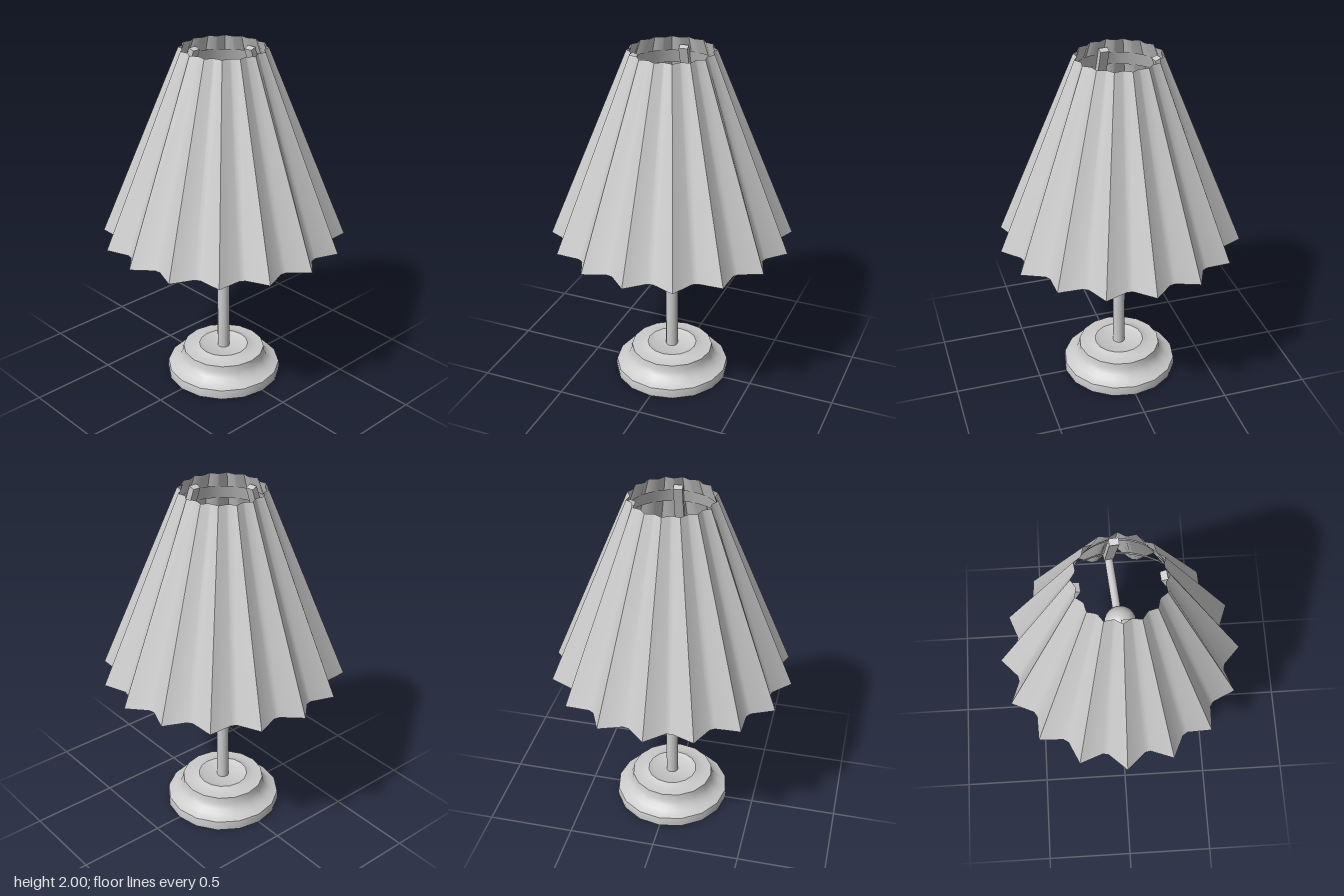
import * as THREE from 'three';
import { toCreasedNormals } from 'three/addons/utils/BufferGeometryUtils.js';

const PLEATS = 16, SHADE_TOP = 2, SHADE_BOTTOM = 0.92;
const grey = new THREE.MeshStandardMaterial({ color: 0xcccccc });
const greyThin = new THREE.MeshStandardMaterial({ color: 0xcccccc, side: THREE.DoubleSide });

function add(parent, name, geometry, material = grey) {
  const mesh = new THREE.Mesh(geometry, material);
  mesh.name = name;
  parent.add(mesh);
  return mesh;
}

// Radius of the pleat valleys at height y
const valleyRadius = (y) => THREE.MathUtils.mapLinear(y, SHADE_BOTTOM, SHADE_TOP, 0.6, 0.22);

// Pleated cone: sharp ridges outside, narrow softened valleys inside
function pleatedShade() {
  const step = (Math.PI * 2) / PLEATS;
  const outline = (peak, valley, y) => {
    const points = [];
    for (let i = 0; i < PLEATS; i++) {
      for (const [t, r] of [[0, peak], [0.43, valley], [0.57, valley]]) {
        const a = (i + t) * step;
        points.push([r * Math.sin(a), y, r * Math.cos(a)]);
      }
    }
    return points;
  };
  const low = outline(0.685, 0.6, SHADE_BOTTOM);
  const high = outline(0.24, 0.22, SHADE_TOP);
  const positions = [];
  low.forEach((a, i) => {
    const j = (i + 1) % low.length;
    positions.push(...a, ...low[j], ...high[j], ...a, ...high[j], ...high[i]);
  });
  const geometry = new THREE.BufferGeometry();
  geometry.setAttribute('position', new THREE.Float32BufferAttribute(positions, 3));
  return toCreasedNormals(geometry, 0.8);
}

export function createModel() {
  const lamp = new THREE.Group();
  lamp.name = 'tableLamp';

  // Turned base with a raised collar around the stem
  const profile = [
    [0, 0], [0.335, 0], [0.337, 0.03], [0.332, 0.055], [0.315, 0.06], [0.285, 0.075],
    [0.26, 0.095], [0.245, 0.125], [0.24, 0.16], [0.19, 0.16], [0.165, 0.168],
    [0.145, 0.175], [0.13, 0.17], [0.12, 0.165], [0, 0.165],
  ].map(([r, y]) => new THREE.Vector2(r, y));
  add(lamp, 'base', toCreasedNormals(new THREE.LatheGeometry(profile, 16), 0.6));

  // Stem and bulb
  const stem = add(lamp, 'stem', new THREE.CylinderGeometry(0.035, 0.035, 1.22, 16));
  stem.position.y = 0.76;
  const bulb = add(lamp, 'bulb', new THREE.SphereGeometry(0.085, 24, 16));
  bulb.position.y = 1.42;

  // Shade
  add(lamp, 'shade', pleatedShade(), greyThin);

  // Frame inside the shade: two bands, four arms, four ribs
  const frame = new THREE.Group();
  frame.name = 'shadeFrame';
  lamp.add(frame);
  for (const [name, y0, y1] of [['upperBand', 1.84, 1.92], ['lowerBand', 1.22, 1.32]]) {
    const band = add(frame, name, new THREE.CylinderGeometry(
      valleyRadius(y1) - 0.004, valleyRadius(y0) - 0.004, y1 - y0, 48, 1, true), greyThin);
    band.position.y = (y0 + y1) / 2;
  }
  for (let i = 0; i < 4; i++) {
    const spoke = new THREE.Group();
    spoke.name = 'spoke';
    spoke.rotation.y = THREE.MathUtils.degToRad(5) + (i * Math.PI) / 2;
    frame.add(spoke);

    const arm = add(spoke, 'arm', new THREE.CylinderGeometry(0.023, 0.023, 0.45, 12));
    arm.rotation.z = Math.PI / 2;
    arm.position.set(0.235, 1.28, 0);

    const rib = add(spoke, 'rib', new THREE.BoxGeometry(0.035, 0.785, 0.05));
    rib.rotation.z = Math.atan2(0.26, 0.74);
    rib.position.set(0.343, 1.58, 0);
  }
  return lamp;
}
